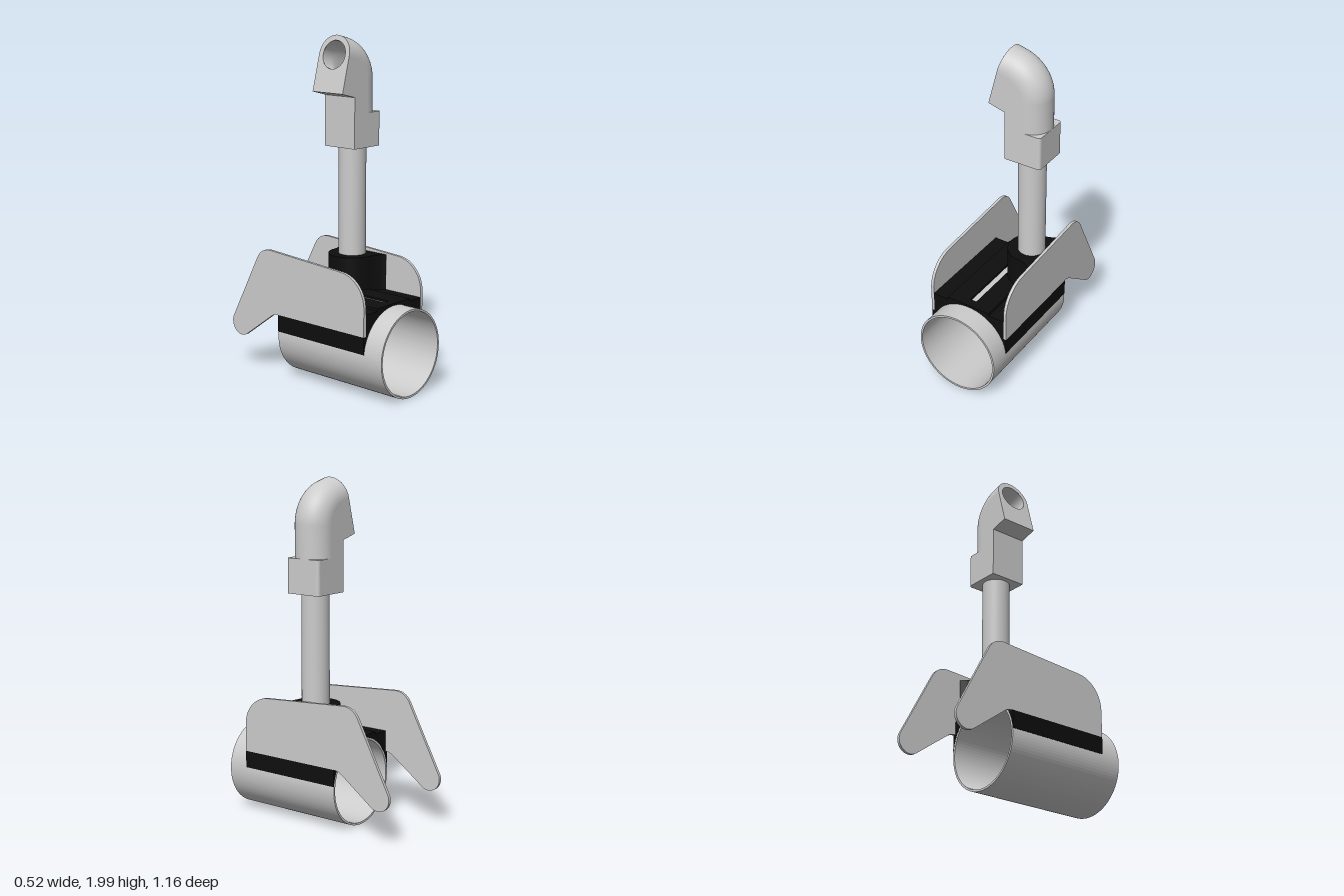
import * as THREE from 'three';

const grey = new THREE.MeshStandardMaterial({ color: 0xcccccc });
const greyThin = new THREE.MeshStandardMaterial({ color: 0xcccccc, side: THREE.DoubleSide });
const black = new THREE.MeshStandardMaterial({ color: 0x0e0e0e });

const CX = -0.005, CY = 0.262, R = 0.256;      // main tube axis and radius
const PX = 0.147, PZ = 0.013, H = 0.113;       // post axis, half width of the fitting

function add(parent, name, geometry, material, x = 0, y = 0, z = 0) {
  const mesh = new THREE.Mesh(geometry, material);
  mesh.name = name;
  mesh.position.set(x, y, z);
  parent.add(mesh);
  return mesh;
}

const extrude = (shape, depth) =>
  new THREE.ExtrudeGeometry(shape, { depth, bevelEnabled: false, curveSegments: 24 });

// Surface through rows of equally many points
function skin(rows) {
  const n = rows[0].length, index = [];
  for (let i = 0; i < rows.length - 1; i++) {
    for (let j = 0; j < n - 1; j++) {
      const a = i * n + j, b = a + n;
      index.push(a, b, a + 1, a + 1, b, b + 1);
    }
  }
  const g = new THREE.BufferGeometry().setFromPoints(rows.flat());
  g.setIndex(index);
  g.computeVertexNormals();
  return g;
}

function mainTube() {
  const s = new THREE.Shape().absarc(0, 0, R, 0, Math.PI * 2);
  s.holes.push(new THREE.Path().absarc(0, 0, R - 0.012, 0, Math.PI * 2, true));
  return new THREE.ExtrudeGeometry(s, { depth: 0.78, bevelEnabled: false, curveSegments: 48 });
}

// Half of the saddle section, from the slot edge out to the side skirt
function saddleHalf(side, slot) {
  const r = R + 0.0005;
  const pts = [[0.258, 0.29], [0.258, 0.39], [0.24, 0.39], [0.24, 0.515],
    [0.14, 0.515], [0.14, 0.53], [slot, 0.53]];
  const a0 = Math.acos(slot / r), a1 = Math.asin((0.29 - CY) / r);
  for (let i = 0; i <= 20; i++) {
    const a = a0 + (a1 - a0) * i / 20;
    pts.push([r * Math.cos(a), CY + r * Math.sin(a)]);
  }
  return new THREE.Shape(pts.map(([x, y]) => new THREE.Vector2(CX + side * x, y)));
}

// Side plate outline in z and y
function plate() {
  const s = new THREE.Shape();
  s.moveTo(0.455, 0.39);
  s.lineTo(0.455, 0.55);
  s.bezierCurveTo(0.455, 0.64, 0.39, 0.72, 0.29, 0.73);
  s.lineTo(-0.26, 0.766);
  s.quadraticCurveTo(-0.335, 0.77, -0.37, 0.7);
  s.absarc(-0.505, 0.283, 0.075, 2.65, 5.34, false);
  s.lineTo(-0.255, 0.372);
  s.quadraticCurveTo(-0.23, 0.39, -0.195, 0.39);
  s.closePath();
  return extrude(s, 0.018).rotateY(-Math.PI / 2).translate(0.009, 0, 0);
}

// Round socket blending into a flat outer side, outline in x and z
function socket() {
  const s = new THREE.Shape();
  s.moveTo(0.236, 0.2);
  s.quadraticCurveTo(0.21, 0.16, 0.145, 0.153);
  s.absarc(0.145, PZ, 0.14, Math.PI / 2, Math.PI * 1.5, false);
  s.quadraticCurveTo(0.2, -0.13, 0.236, -0.175);
  s.closePath();
  return extrude(s, 0.213).rotateX(Math.PI / 2);
}

function collar() {
  const c = 0.02, s = new THREE.Shape();
  s.moveTo(-H, -H);
  s.lineTo(H - c, -H);
  s.quadraticCurveTo(H, -H, H, -H + c);
  s.lineTo(H, H - c);
  s.quadraticCurveTo(H, H, H - c, H);
  s.lineTo(-H, H);
  s.closePath();
  return extrude(s, 0.2).rotateX(Math.PI / 2);
}

// Elbow: half-round outside, square inside, bored through
function elbow() {
  const g = new THREE.Group();
  g.name = 'elbow';
  const bend = 0.136, turn = 75 * Math.PI / 180, y0 = 1.744, ex = PX - bend;
  const up = new THREE.Vector3(Math.cos(turn), Math.sin(turn), 0);
  const out = new THREE.Vector3(-up.y, up.x, 0);

  // Centre line stations with their outward directions
  const stations = [{ p: new THREE.Vector3(PX, 1.55, PZ), u: new THREE.Vector3(1, 0, 0) }];
  for (let i = 0; i <= 20; i++) {
    const a = turn * i / 20, u = new THREE.Vector3(Math.cos(a), Math.sin(a), 0);
    stations.push({ p: new THREE.Vector3(ex, y0, PZ).addScaledVector(u, bend), u });
  }
  const end = stations[20 + 1].p.clone().addScaledVector(out, 0.062);
  stations.push({ p: end, u: up });

  add(g, 'elbowBack', skin(stations.map(({ p, u }) => {
    const row = [];
    for (let j = 0; j <= 24; j++) {
      const a = Math.PI * j / 24;
      const q = p.clone().addScaledVector(u, H * Math.sin(a));
      q.z += H * Math.cos(a);
      row.push(q);
    }
    return row;
  })), greyThin);

  // Flat cheeks and the underside
  const low = end.clone().addScaledVector(up, -0.217);
  const belly = [[low.x, low.y], [PX - H, 1.655], [PX - H, 1.55]];
  const cheek = new THREE.Shape([...stations.map(({ p }) => new THREE.Vector2(p.x, p.y)),
    ...belly.map(([x, y]) => new THREE.Vector2(x, y))]);
  for (const side of [-1, 1]) {
    add(g, 'elbowCheek', new THREE.ShapeGeometry(cheek), greyThin, 0, 0, PZ + side * H);
  }
  const under = skin(belly.map(([x, y]) =>
    [new THREE.Vector3(x, y, PZ - H), new THREE.Vector3(x, y, PZ + H)])).toNonIndexed();
  under.computeVertexNormals();
  add(g, 'elbowUnderside', under, greyThin);

  // Mouth with its round opening
  const face = new THREE.Shape();
  face.moveTo(-H, -0.217);
  face.lineTo(H, -0.217);
  face.lineTo(H, 0);
  face.absarc(0, 0, H, 0, Math.PI, false);
  face.closePath();
  face.holes.push(new THREE.Path().absarc(0, 0, 0.082, 0, Math.PI * 2, true));
  const frame = new THREE.Matrix4().makeBasis(new THREE.Vector3(0, 0, 1), up, out).setPosition(end);
  add(g, 'elbowMouth', new THREE.ShapeGeometry(face, 24).applyMatrix4(frame), greyThin);

  const line = new THREE.CurvePath();
  for (let i = 0; i < stations.length - 1; i++) {
    line.add(new THREE.LineCurve3(stations[i].p, stations[i + 1].p));
  }
  add(g, 'elbowBore', new THREE.TubeGeometry(line, 40, 0.082, 32, false), greyThin);
  return g;
}

export function createModel() {
  const model = new THREE.Group();
  model.name = 'tubeClampWithPost';

  add(model, 'mainTube', mainTube(), grey, CX, CY, -0.2);

  // Saddle: two halves beside a slot, joined by a bridge at the front
  const saddle = new THREE.Group();
  saddle.name = 'saddle';
  for (const side of [-1, 1]) {
    add(saddle, 'saddleSide', extrude(saddleHalf(side, 0.02), 0.6), black, 0, 0, -0.2);
    add(saddle, 'saddleBridge', extrude(saddleHalf(side, 0), 0.055), black, 0, 0, 0.4);
  }
  add(saddle, 'postSocket', socket(), black, 0, 0.725, 0);
  model.add(saddle);

  for (const side of [-1, 1]) add(model, 'sidePlate', plate(), grey, CX + side * 0.249, 0, 0);

  // Upright post and its fitting
  add(model, 'post', new THREE.CylinderGeometry(0.08, 0.08, 0.9, 40), grey, 0.145, 1.05, PZ);
  add(model, 'collar', collar(), grey, PX, 1.56, PZ);
  model.add(elbow());
  return model;
}
